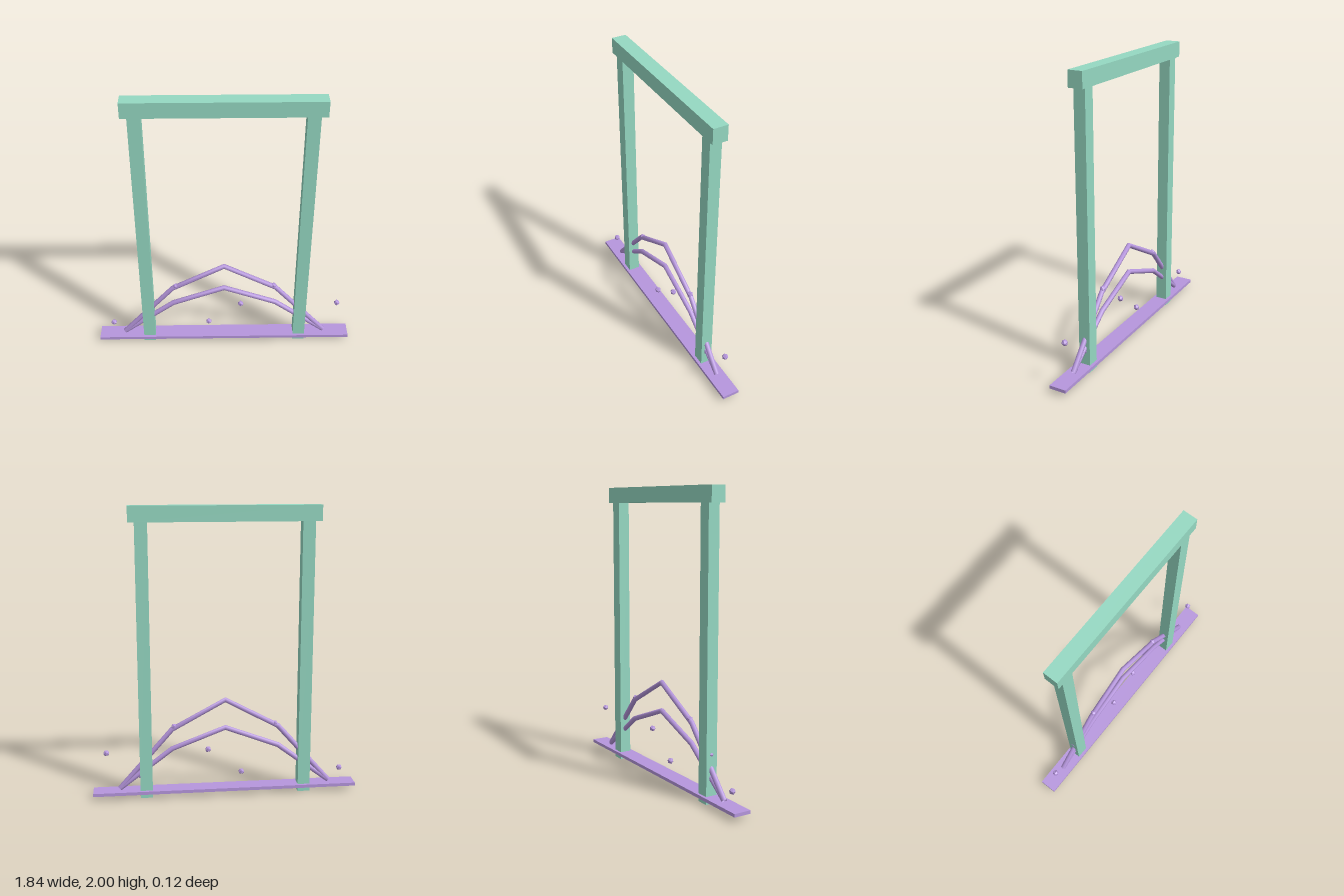
import * as THREE from 'three';

const green = new THREE.MeshStandardMaterial({ color: 0x95d8c2 });
const purple = new THREE.MeshStandardMaterial({ color: 0xb696dd });
const purpleTube = new THREE.MeshStandardMaterial({ color: 0xb696dd, side: THREE.DoubleSide });
const purpleFlat = new THREE.MeshStandardMaterial({ color: 0xb696dd, flatShading: true });

// Polyline whose tube joints are mitred
class BentPath extends THREE.Curve {
  constructor(points) {
    super();
    this.points = points.map(([x, y]) => new THREE.Vector3(x, y, 0));
  }
  getPointAt(u) {
    return this.points[Math.round(u * (this.points.length - 1))].clone();
  }
  getTangentAt(u) {
    const p = this.points, i = Math.round(u * (p.length - 1));
    const t = new THREE.Vector3();
    if (i > 0) t.add(p[i].clone().sub(p[i - 1]).normalize());
    if (i < p.length - 1) t.add(p[i + 1].clone().sub(p[i]).normalize());
    return t.normalize();
  }
}

export function createModel() {
  const group = new THREE.Group();
  const add = (name, geometry, material, x = 0, y = 0, z = 0) => {
    const mesh = new THREE.Mesh(geometry, material);
    mesh.name = name;
    mesh.position.set(x, y, z);
    group.add(mesh);
    return mesh;
  };

  // Gate frame
  for (const [name, s] of [['leftPost', 1], ['rightPost', -1]]) {
    add(name, new THREE.BoxGeometry(0.085, 1.9, 0.08), green, s * 0.553, 0.95);
  }
  add('lintel', new THREE.BoxGeometry(1.276, 0.106, 0.1), green, 0, 1.947);

  // Ground plank
  add('plank', new THREE.BoxGeometry(1.84, 0.022, 0.12), purple, 0, 0.042);

  // Two bent rods, sharing their feet
  for (const [name, knee, peak] of [['upperArch', 0.48, 0.68], ['lowerArch', 0.34, 0.48]]) {
    const path = new BentPath([[-0.735, 0.065], [-0.37, knee], [0, peak], [0.37, knee], [0.735, 0.065]]);
    add(name, new THREE.TubeGeometry(path, 4, 0.018, 8, false), purpleTube);
  }

  // Floating beads, stepping up through three heights
  for (let i = 0; i < 8; i++) {
    add('bead' + (i + 1), new THREE.IcosahedronGeometry(0.022, 0), purpleFlat,
      -0.815 + i * 0.234, 0.152 + (i % 3) * 0.173);
  }
  return group;
}
